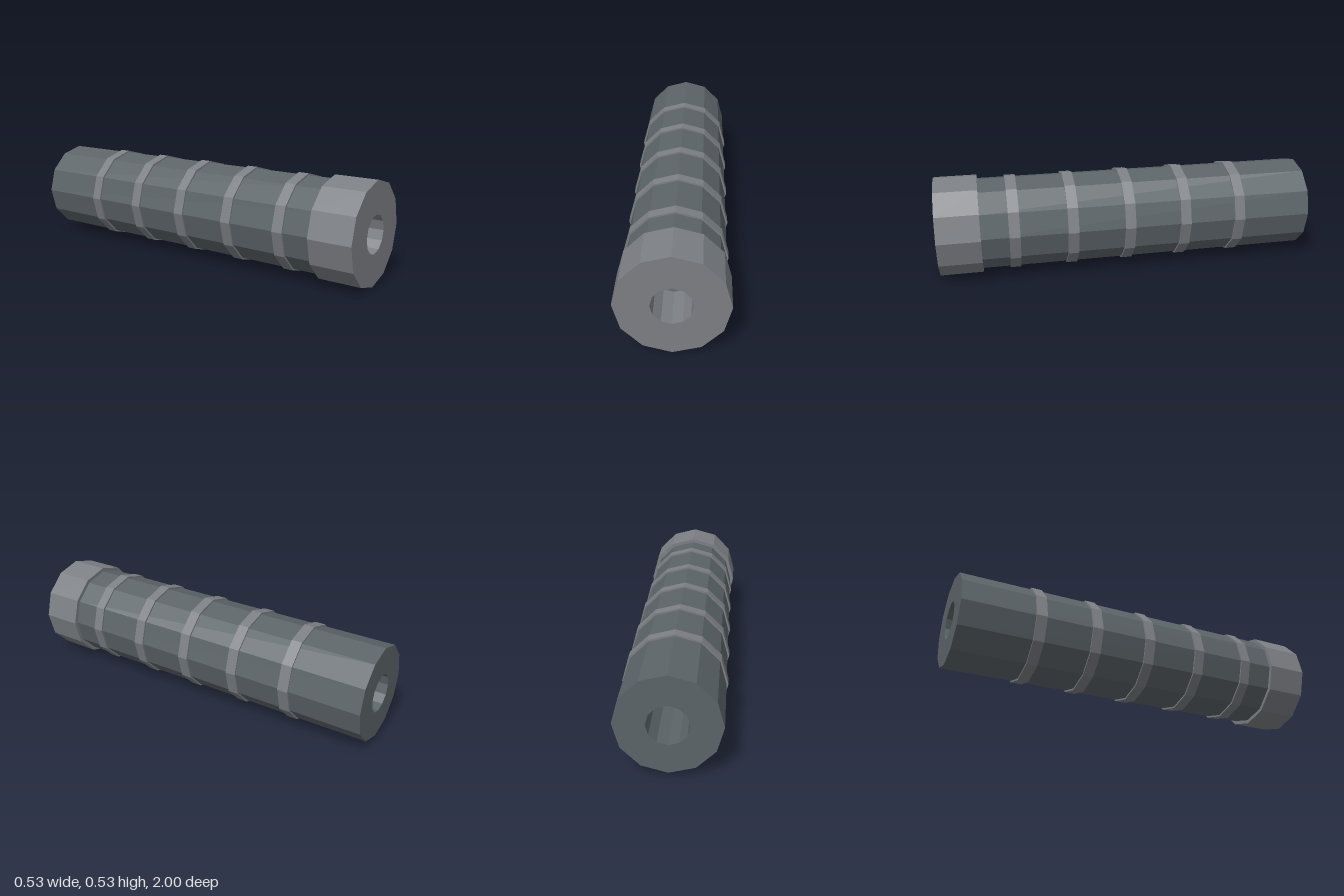
import * as THREE from 'three';

const SIDES = 12;
const BORE = 0.098;
const AXIS_Y = 0.264;

// Faceted hollow cylinder lying along z, from zBack to zFront
function tube(name, inner, outer, zBack, zFront, color) {
  const profile = [
    [inner, zBack], [outer, zBack], [outer, zFront], [inner, zFront], [inner, zBack],
  ].map(([r, z]) => new THREE.Vector2(r, z));
  const geometry = new THREE.LatheGeometry(profile, SIDES);
  geometry.rotateX(Math.PI / 2);
  const mesh = new THREE.Mesh(
    geometry,
    new THREE.MeshStandardMaterial({ color, flatShading: true }),
  );
  mesh.name = name;
  mesh.position.y = AXIS_Y;
  return mesh;
}

export function createModel() {
  const group = new THREE.Group();
  group.name = 'ribbedTube';

  // Long dark barrel with a through bore
  group.add(tube('barrel', BORE, 0.244, -1, 0.778, 0x5c6468));

  // Wider collar at the front end
  group.add(tube('frontCollar', BORE, 0.264, 0.778, 1, 0x7c7f84));

  // Five evenly spaced raised bands
  for (let i = 0; i < 5; i++) {
    const z = -0.6 + i * 0.302;
    group.add(tube(`band${i + 1}`, 0.238, 0.253, z - 0.028, z + 0.028, 0x7c7f84));
  }

  return group;
}
